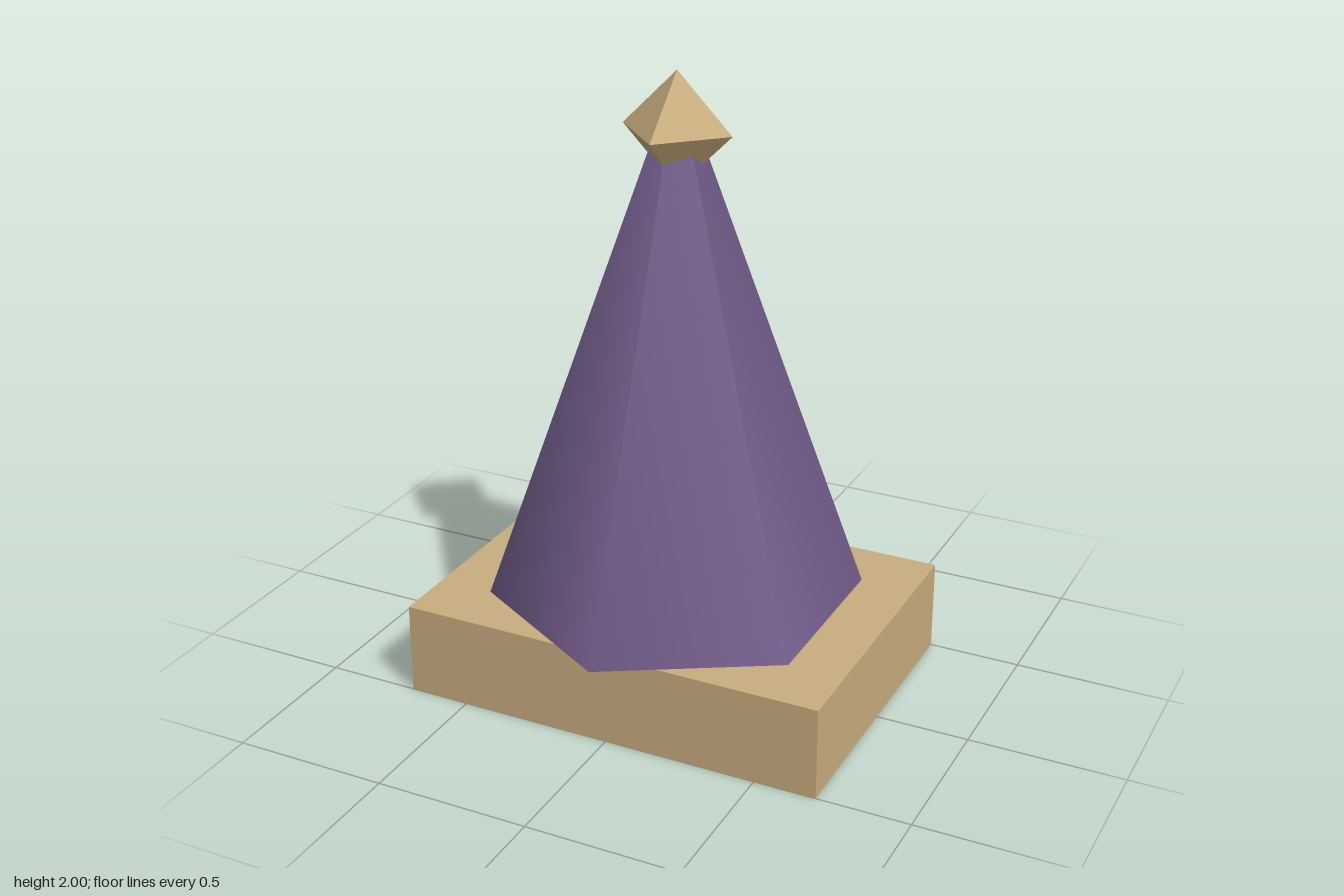
import * as THREE from 'three';

export function createModel() {
  const group = new THREE.Group();
  const sand = new THREE.MeshStandardMaterial({ color: 0xc8ad7f });
  sand.name = 'sand';
  const purple = new THREE.MeshStandardMaterial({ color: 0x735d8b });
  purple.name = 'purple';

  const add = (name, geometry, material, y) => {
    const mesh = new THREE.Mesh(geometry, material);
    mesh.name = name;
    mesh.position.y = y;
    group.add(mesh);
  };

  // rectangular plinth
  add('base', new THREE.BoxGeometry(1.4, 0.3, 1), sand, 0.15);
  // six-sided smooth-shaded spire, its tip hidden inside the finial
  add('spire', new THREE.ConeGeometry(0.6, 1.7, 6), purple, 1.15);
  // faceted finial
  add('finial', new THREE.OctahedronGeometry(0.18), sand, 1.82);

  return group;
}
